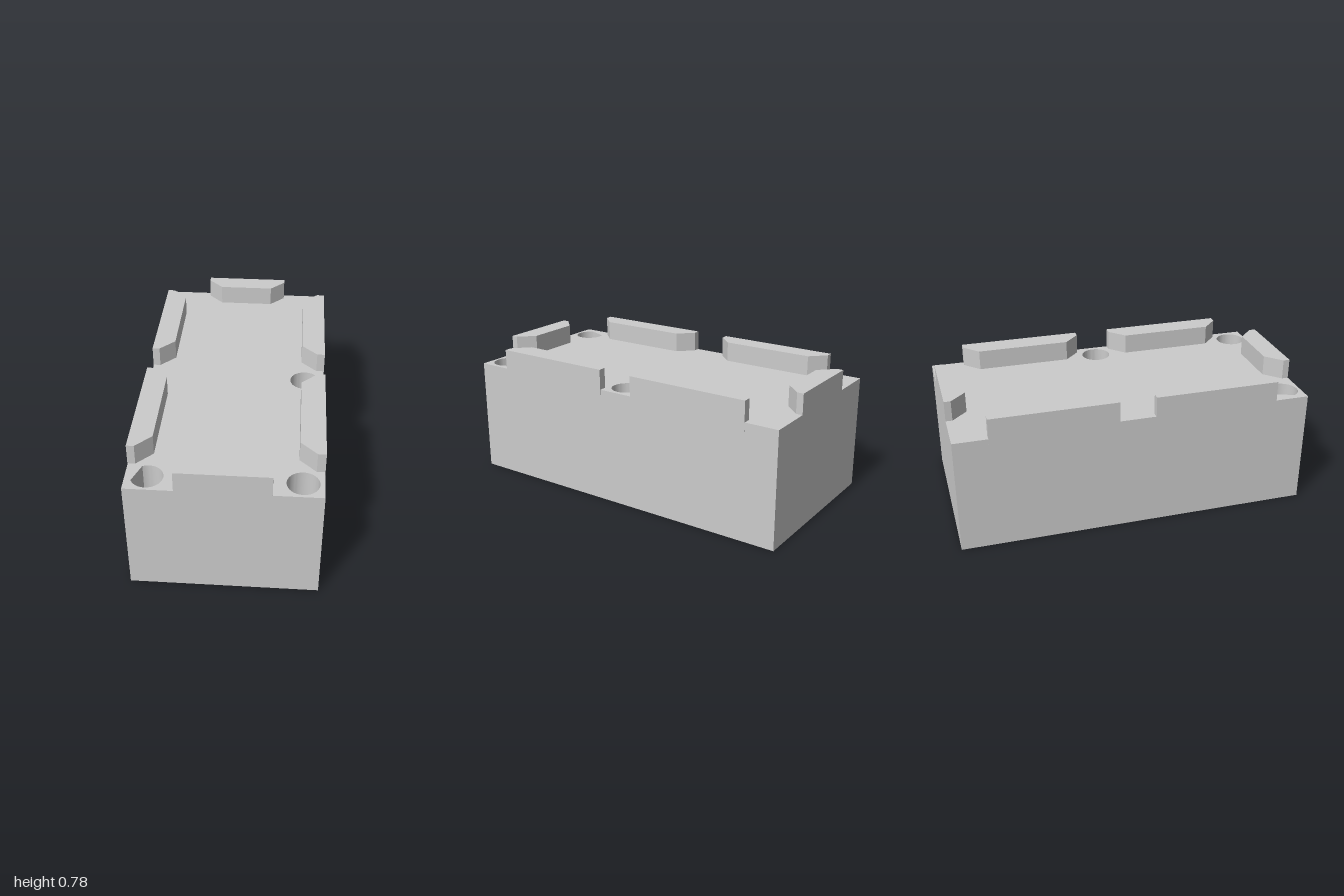
import * as THREE from 'three';
import { toCreasedNormals } from 'three/addons/utils/BufferGeometryUtils.js';

const W = 0.502, DECK = 0.66, TOP = 0.775, FLOOR = 0.36;

export function createModel() {
  const group = new THREE.Group();
  const material = new THREE.MeshStandardMaterial({ color: 0xcccccc });

  // Plan outline given as [x, z], raised from y0 to y1
  const plan = (points) => points.map(([x, z]) => new THREE.Vector2(x, -z));
  function addPrism(name, outline, y0, y1, holes = []) {
    const shape = new THREE.Shape(plan(outline));
    for (const hole of holes) shape.holes.push(new THREE.Path(plan(hole)));
    let geometry = new THREE.ExtrudeGeometry(shape, { depth: y1 - y0, bevelEnabled: false });
    geometry.rotateX(-Math.PI / 2).translate(0, y0, 0);
    geometry = toCreasedNormals(geometry, 0.4);
    const mesh = new THREE.Mesh(geometry, material);
    mesh.name = name;
    group.add(mesh);
  }

  // Round hole outline; the angles between cutFrom and cutTo (degrees) become a flat
  function circle(cx, cz, cutFrom = 0, cutTo = 0) {
    const points = [];
    for (let i = 0; i < 60; i++) {
      const degrees = i * 6;
      if (degrees > cutFrom && degrees < cutTo) continue;
      const a = THREE.MathUtils.degToRad(degrees);
      points.push([cx + 0.084 * Math.cos(a), cz + 0.084 * Math.sin(a)]);
    }
    return points;
  }

  // Block: solid base, and an upper layer pierced by three sockets
  const rectangle = [[-W, 1], [W, 1], [W, -1], [-W, -1]];
  addPrism('blockBase', rectangle, 0, FLOOR);
  addPrism('blockTop', rectangle, FLOOR, DECK, [
    circle(0.394, 0), circle(0.394, 0.9), circle(-0.39, 0.9, 160, 246),
  ]);

  // Long side battlements, two per side, chamfered on the inner corners
  for (const [side, inner, bevel] of [[1, 0.372, 0.46], [-1, 0.38, 0.463]]) {
    for (const centre of [-0.457, 0.453]) {
      addPrism(side > 0 ? 'leftBattlement' : 'rightBattlement', [
        [side * 0.504, centre - 0.353], [side * bevel, centre - 0.353],
        [side * inner, centre - 0.267], [side * inner, centre + 0.267],
        [side * bevel, centre + 0.353], [side * 0.504, centre + 0.353],
      ], 0.61, TOP);
    }
  }

  // End battlements, one at the front and one at the back
  for (const [name, end] of [['frontBattlement', 1], ['backBattlement', -1]]) {
    addPrism(name, [
      [-0.245, end], [-0.245, end * 0.963], [-0.16, end * 0.877],
      [0.16, end * 0.877], [0.245, end * 0.963], [0.245, end],
    ], DECK, TOP);
  }
  return group;
}
